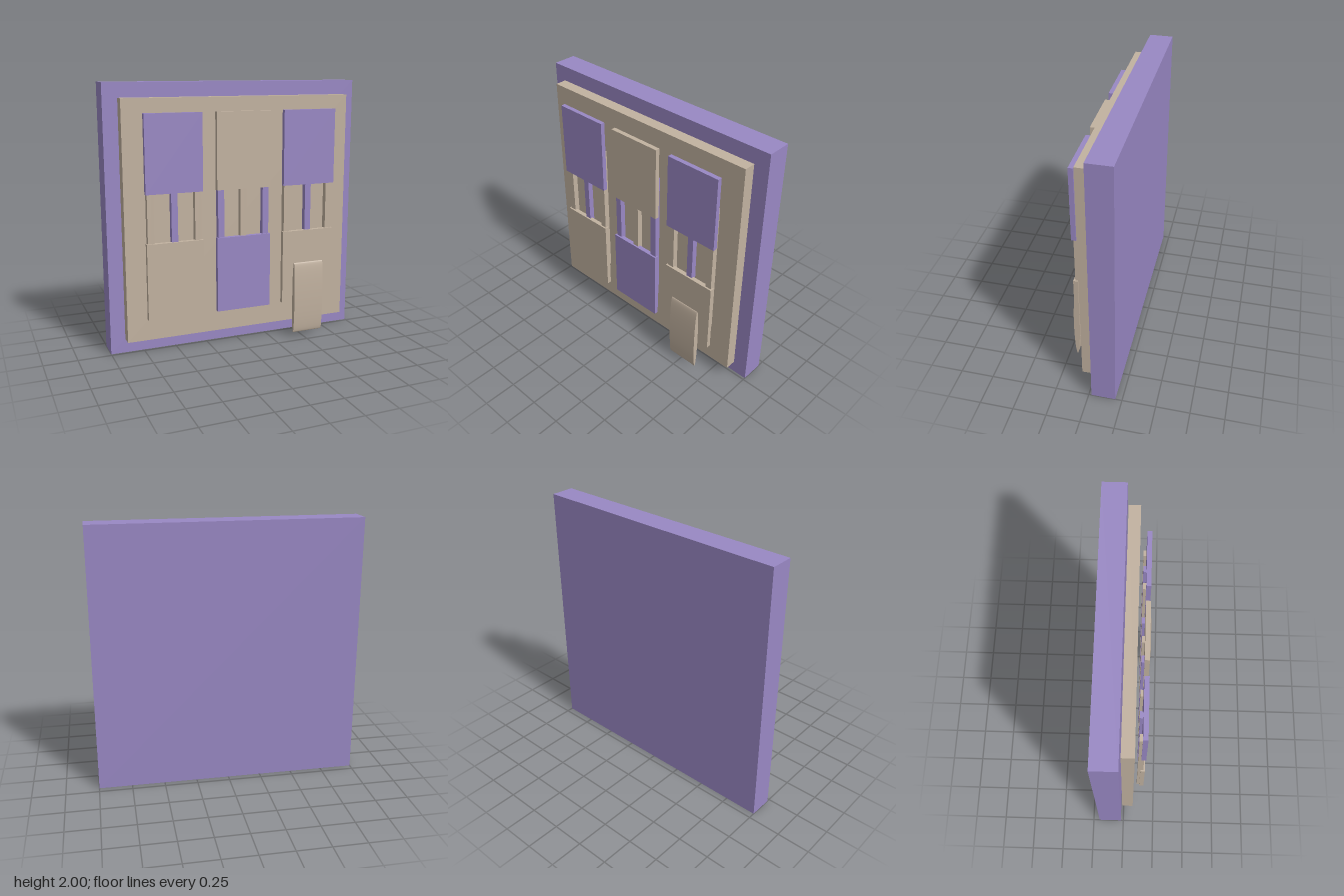
import * as THREE from 'three';

export function createModel() {
  const group = new THREE.Group();
  const purple = new THREE.MeshStandardMaterial({ color: 0x9988c4 });
  const tan = new THREE.MeshStandardMaterial({ color: 0xc2b2a0 });

  // Box given by its extents on each axis
  function box(name, material, [x0, x1], [y0, y1], [z0, z1]) {
    const mesh = new THREE.Mesh(new THREE.BoxGeometry(x1 - x0, y1 - y0, z1 - z0), material);
    mesh.position.set((x0 + x1) / 2, (y0 + y1) / 2, (z0 + z1) / 2);
    mesh.name = name;
    group.add(mesh);
  }

  // Backing slab and the smaller board floating in front of it
  box('backPanel', purple, [-1, 1], [0, 2], [-0.2, -0.02]);
  box('frontBoard', tan, [-0.892, 0.892], [0.11, 1.892], [-0.011, 0.076]);

  // Three columns: an upper and a lower plate joined by three staggered bars
  [-0.538, -0.001, 0.536].forEach((cx, column) => {
    const odd = column === 1;
    const plateX = [cx - 0.214, cx + 0.214];
    box('upperPlate', odd ? tan : purple, plateX, [1.22, 1.79], [0.125, 0.159]);
    box('lowerPlate', odd ? purple : tan, plateX, [0.29, 0.86], [0.125, 0.159]);
    for (let i = 0; i < 3; i++) {
      const x = cx + (i - 1) * 0.179;
      const halfLength = 0.715 - i * 0.09;
      const material = (i === 1) !== odd ? purple : tan;
      box('bar', material, [x - 0.024, x + 0.024], [1.005 - halfLength, 1.005 + halfLength], [0.104, 0.146]);
    }
  });

  // Flattened cylinder lying across the lower plate
  const handleGeometry = new THREE.CylinderGeometry(1, 1, 0.246, 48);
  handleGeometry.rotateZ(Math.PI / 2);
  handleGeometry.scale(1, 0.285, 0.021);
  const handle = new THREE.Mesh(handleGeometry, tan);
  handle.position.set(0.533, 0.325, 0.179);
  handle.name = 'handle';
  group.add(handle);

  return group;
}
